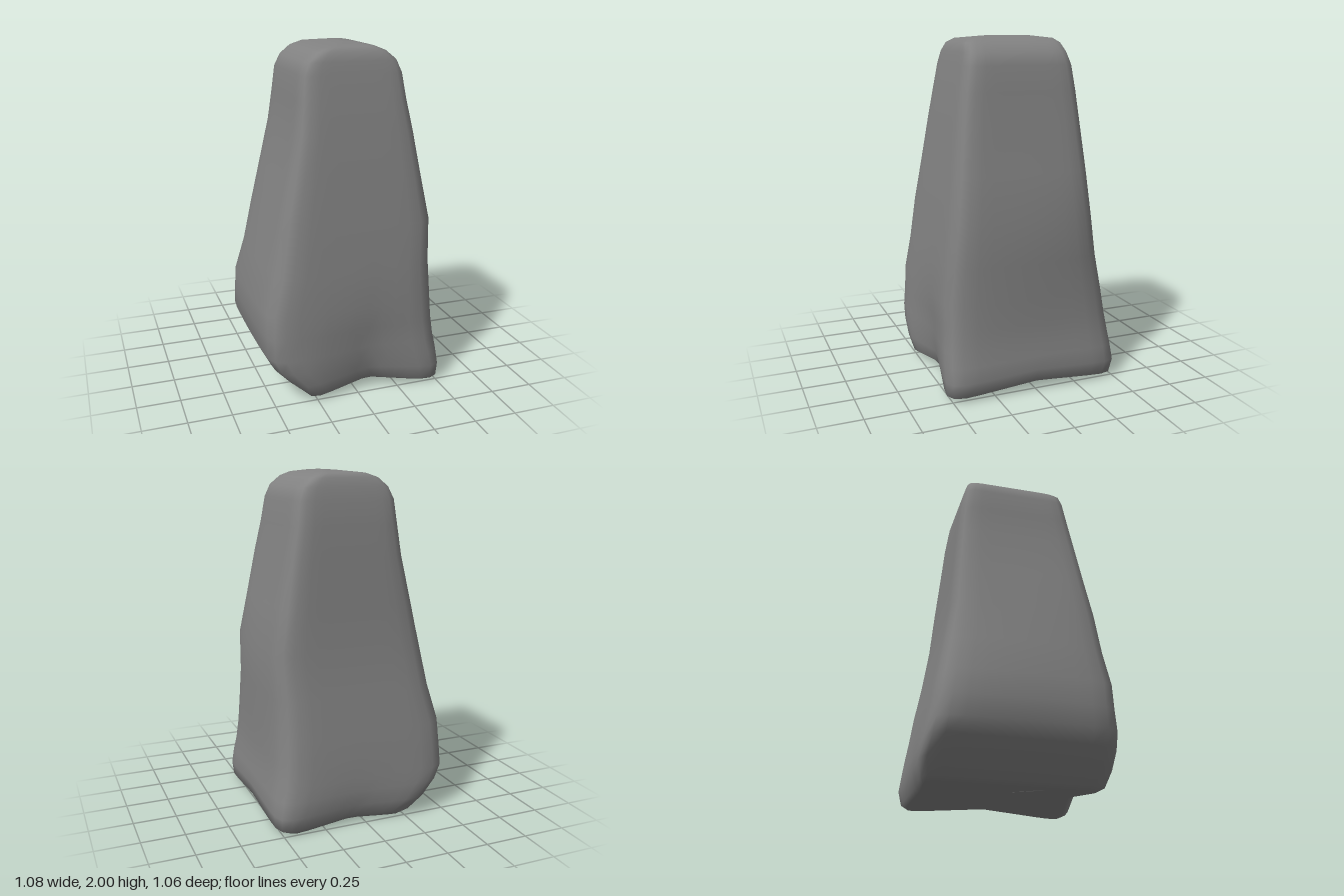
import * as THREE from 'three';

// Cross-sections from the underside to the crown: y, xMin, xMax, zBack, zFront
const RINGS = [
  [0.05, 0.10, 0.12, -0.01, 0.01],
  [0.04, -0.10, 0.30, -0.28, 0.28],
  [0.005, -0.27, 0.48, -0.49, 0.49],
  [0.03, -0.31, 0.53, -0.51, 0.525],
  [0.11, -0.40, 0.54, -0.53, 0.53],
  [0.20, -0.49, 0.53, -0.52, 0.53],
  [0.28, -0.535, 0.515, -0.51, 0.525],
  [0.40, -0.54, 0.505, -0.49, 0.515],
  [0.54, -0.54, 0.50, -0.47, 0.51],
  [0.75, -0.49, 0.495, -0.43, 0.485],
  [1.00, -0.435, 0.49, -0.39, 0.46],
  [1.25, -0.37, 0.435, -0.37, 0.425],
  [1.52, -0.31, 0.385, -0.345, 0.39],
  [1.70, -0.285, 0.35, -0.33, 0.36],
  [1.84, -0.27, 0.33, -0.31, 0.335],
  [1.91, -0.24, 0.30, -0.29, 0.32],
  [1.96, -0.18, 0.24, -0.275, 0.305],
  [1.985, -0.11, 0.18, -0.25, 0.27],
  [2.00, 0.03, 0.10, -0.12, 0.12],
  [2.00, 0.064, 0.066, -0.001, 0.001],
];
const SIDE = 12; // segments along each side of the rounded square

// Unit rounded-square outline, evenly stepped along its sides
function outline() {
  const pts = [];
  for (let s = 0; s < 4; s++) {
    for (let k = 0; k < SIDE; k++) {
      const t = -1 + (2 * k) / SIDE;
      const [u, v] = [[1, t], [-t, 1], [-1, -t], [t, -1]][s];
      const n = 11;
      const r = 1 / Math.pow(Math.abs(u) ** n + Math.abs(v) ** n, 1 / n);
      pts.push([u * r, v * r]);
    }
  }
  return pts;
}

// Tent-shaped weight: 1 at the centre, 0 beyond the given reach
const tent = (value, centre, reach) => Math.max(0, 1 - Math.abs(value - centre) / reach);

function stoneGeometry() {
  const unit = outline();
  const count = unit.length;
  const positions = [];
  const index = [];
  RINGS.forEach(([y, x0, x1, z0, z1], i) => {
    for (const [u, v] of unit) {
      // Left and right faces bulge around the waist, so their edges sit further in
      const inset = 0.035 * tent(y, 0.7, 0.6) * v * v;
      const x = (x0 + x1) / 2 + u * ((x1 - x0) / 2 - inset);
      let z = (z0 + z1) / 2 + (v * (z1 - z0)) / 2;
      // Shallow hollows in the foot of the front and back faces
      const hollow = tent(x, 0.08, 0.36) * Math.abs(v) ** 3;
      z -= hollow * (v > 0 ? 0.08 * tent(y, 0, 0.6) : -0.035 * tent(y, 0, 0.32));
      // The bottom rim arches up between its corners
      const arch = hollow * (v > 0 ? 0.045 : 0.025) + 0.04 * tent(z, 0, 0.45) * Math.max(0, u) ** 3;
      const lift = i > 1 ? arch * tent(y, 0, 0.32) : 0;
      positions.push(x, y + lift, z);
    }
    if (i === 0) return;
    for (let j = 0; j < count; j++) {
      const k = (j + 1) % count;
      const a = (i - 1) * count;
      const b = i * count;
      index.push(a + j, b + j, a + k, b + j, b + k, a + k);
    }
  });
  const geometry = new THREE.BufferGeometry();
  geometry.setAttribute('position', new THREE.Float32BufferAttribute(positions, 3));
  geometry.setIndex(index);
  geometry.computeVertexNormals();
  return geometry;
}

export function createModel() {
  const group = new THREE.Group();
  group.name = 'standingStone';
  const stone = new THREE.Mesh(
    stoneGeometry(),
    new THREE.MeshStandardMaterial({ color: 0x828282 })
  );
  stone.name = 'taperedStone';
  group.add(stone);
  return group;
}
